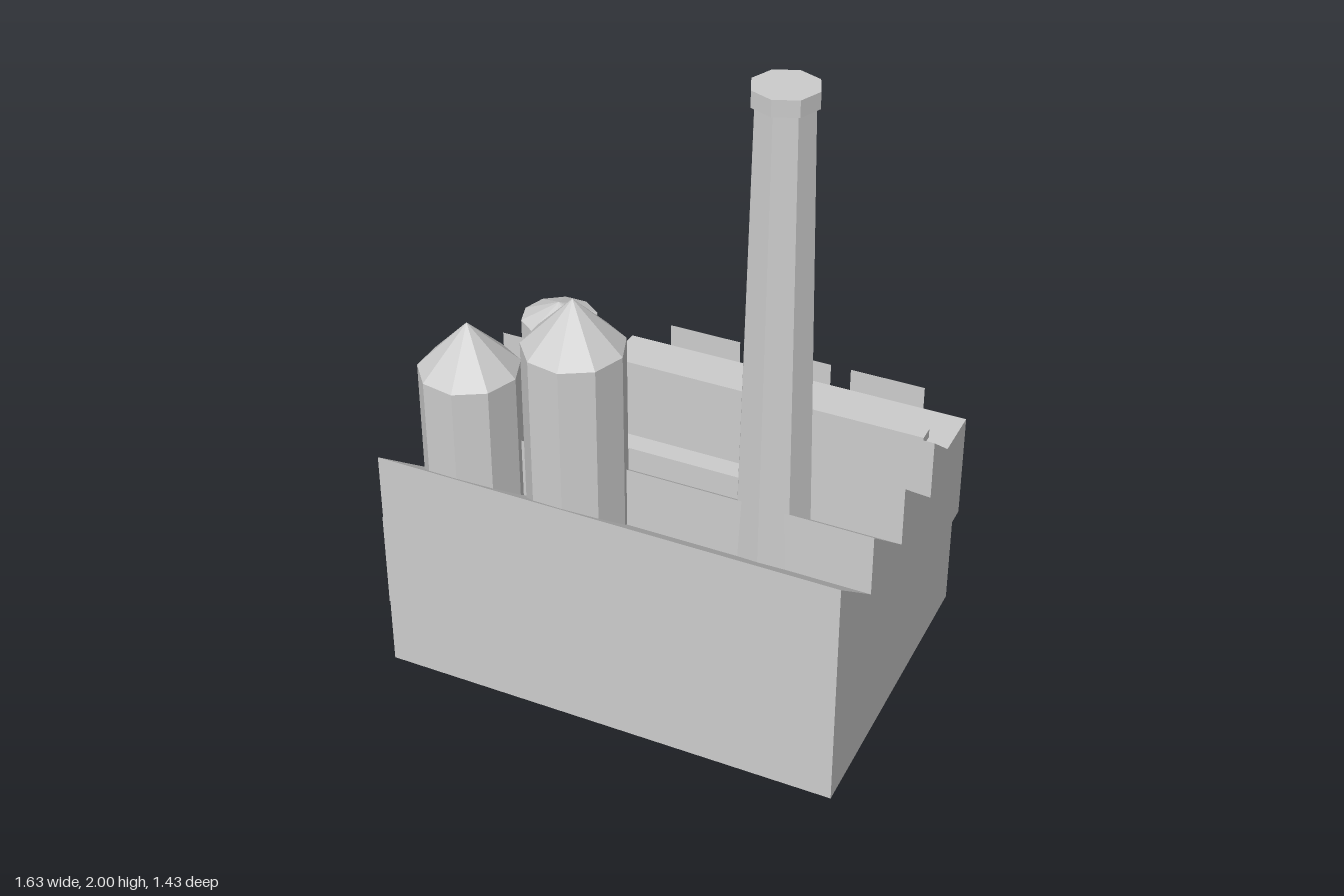
import * as THREE from 'three';
import { mergeGeometries } from 'three/addons/utils/BufferGeometryUtils.js';

const concrete = new THREE.MeshStandardMaterial({
  color: 0xcccccc, flatShading: true, side: THREE.DoubleSide,
});
concrete.name = 'concrete';

export function createModel() {
  const model = new THREE.Group();
  model.name = 'factory';

  const add = (name, geometry, x = 0, y = 0, z = 0, parent = model) => {
    const mesh = new THREE.Mesh(geometry, concrete);
    mesh.name = name;
    mesh.position.set(x, y, z);
    parent.add(mesh);
    return mesh;
  };

  // Bottomless building: a [z, y] profile, front to back, swept from x0 to x1
  const shell = (profile, x0, x1) => {
    const pos = [];
    for (let i = 0; i < profile.length - 1; i++) {
      const [za, ya] = profile[i], [zb, yb] = profile[i + 1];
      pos.push(x0, ya, za, x1, ya, za, x1, yb, zb, x0, ya, za, x1, yb, zb, x0, yb, zb);
    }
    const walls = new THREE.BufferGeometry();
    walls.setAttribute('position', new THREE.Float32BufferAttribute(pos, 3));
    walls.computeVertexNormals();
    const end = (side, x) => {
      const shape = new THREE.Shape(profile.map(([z, y]) => new THREE.Vector2(-side * z, y)));
      const g = new THREE.ShapeGeometry(shape).toNonIndexed();
      g.deleteAttribute('uv');
      return g.rotateY(side * Math.PI / 2).translate(x, 0, 0);
    };
    return mergeGeometries([walls, end(1, x1), end(-1, x0)]);
  };
  const block = (z0, z1, h) => [[z1, 0], [z1, h], [z0, h], [z0, 0]];

  // Main hall with four sawtooth roof bays
  const front = 0.713, bay = 0.247, peak = 0.745, valley = 0.55;
  const profile = [[front, 0]];
  for (let i = 0; i < 4; i++) {
    profile.push([front - i * bay, peak], [front - (i + 1) * bay, valley]);
  }
  profile.push([front - 4 * bay, 0]);
  add('mainHall', shell(profile, -0.612, 0.81));

  // Lower wings behind and beside the hall
  add('rearWing', shell(block(-0.715, -0.265, 0.372), -0.503, 0.702));
  add('sideWing', shell(block(-0.057, 0.49, 0.328), -0.768, -0.612));

  // Sheet-thin raised panels along the rear wing's back wall
  for (let i = 0; i < 3; i++) {
    add('parapetPanel', new THREE.PlaneGeometry(0.257, 0.08).rotateY(Math.PI),
      0.427 - i * 0.327, 0.412, -0.715);
  }

  // Pipes on the roof and along the back wall
  add('roofPipe', new THREE.BoxGeometry(1.01, 0.043, 0.065), -0.065, 0.683, 0.283);
  add('rearPipe', new THREE.BoxGeometry(1.205, 0.03, 0.052), 0.1, 0.567, -0.292);

  // Open-bottomed silos with conical roofs
  const silo = (name, x, z, r, h, roof, sides) => {
    const group = new THREE.Group();
    group.name = name;
    group.position.set(x, 0, z);
    model.add(group);
    add('siloBody', new THREE.CylinderGeometry(r, r, h, sides, 1, true, Math.PI / 2),
      0, h / 2, 0, group);
    add('siloRoof', new THREE.ConeGeometry(r, roof, sides, 1, true, Math.PI / 2),
      0, h + roof / 2, 0, group);
  };
  silo('shortFrontSilo', -0.412, 0.513, 0.15, 0.99, 0.15, 9);
  silo('tallFrontSilo', -0.073, 0.513, 0.15, 1.155, 0.15, 9);
  silo('rearSilo', -0.69, -0.54, 0.13, 0.498, 0.057, 10);

  // Tapered chimney with a collar and closed top
  const chimney = new THREE.Group();
  chimney.name = 'chimney';
  chimney.position.set(0.48, 0, 0.382);
  model.add(chimney);
  add('chimneyShaft', new THREE.CylinderGeometry(0.085, 0.126, 1.95, 8, 1, true),
    0, 0.975, 0, chimney);
  add('chimneyCollar', new THREE.CylinderGeometry(0.095, 0.095, 0.048, 8),
    0, 1.976, 0, chimney);

  return model;
}
